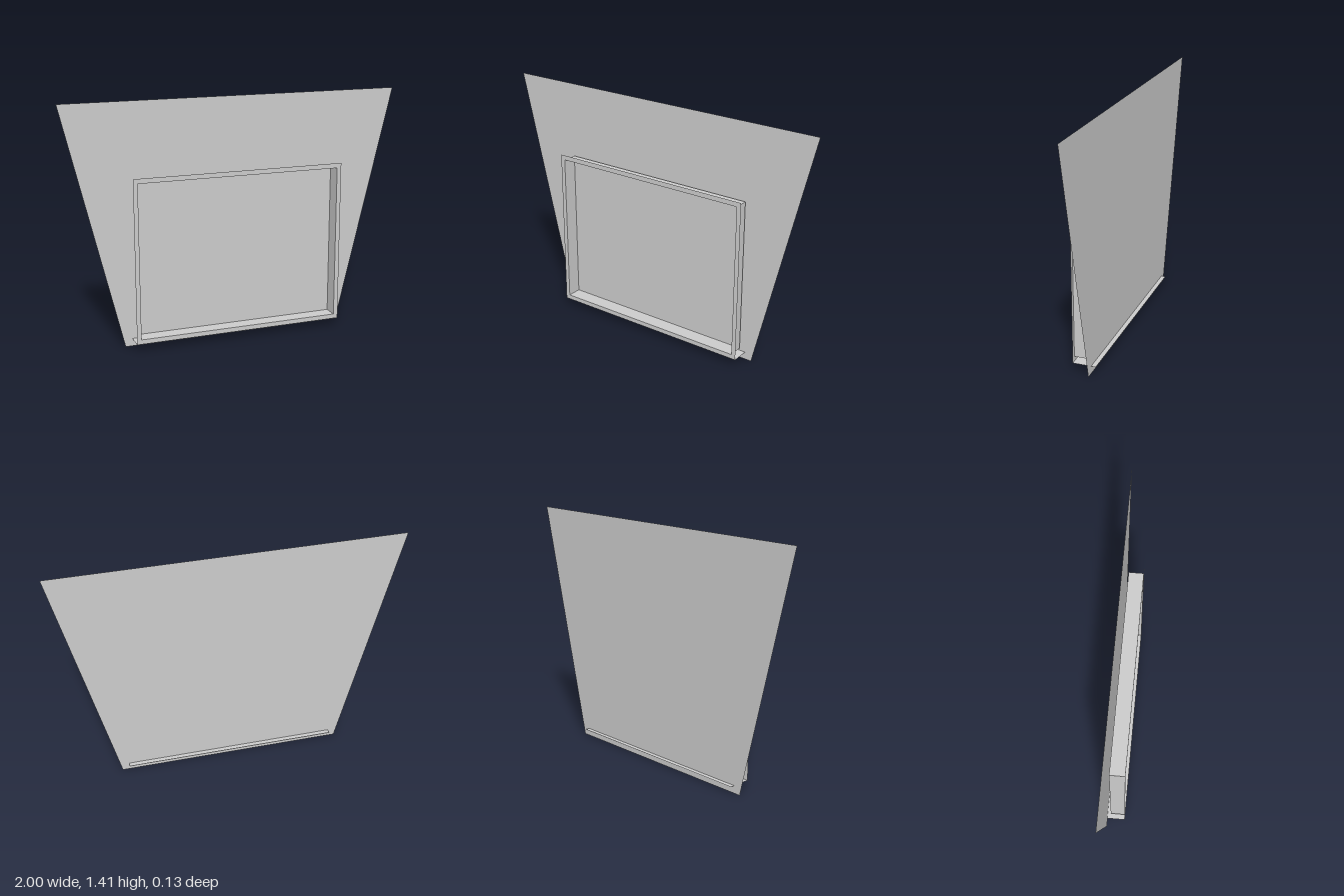
import * as THREE from 'three';

export function createModel() {
  const group = new THREE.Group();
  const material = new THREE.MeshStandardMaterial({
    color: 0xcccccc, side: THREE.DoubleSide, flatShading: true,
  });
  const add = (name, geometry, x = 0, y = 0, z = 0) => {
    const mesh = new THREE.Mesh(geometry, material);
    mesh.name = name;
    mesh.position.set(x, y, z);
    group.add(mesh);
    return mesh;
  };
  const corners = (x, y0, y1) => [[-x, y0], [x, y0], [x, y1], [-x, y1]]
    .map(([a, b]) => new THREE.Vector2(a, b));

  const front = 0.067, recess = -0.02;
  const outer = { x: 0.623, y0: 0.045, y1: 0.998 };
  const inner = { x: 0.597, y0: 0.072, y1: 0.97 };
  const depth = front - recess, midZ = (front + recess) / 2;
  const height = inner.y1 - inner.y0, midY = (inner.y0 + inner.y1) / 2;

  // Flared, paper-thin backing sheet
  const sheet = new THREE.Shape([[-0.663, 0], [0.663, 0], [1, 1.407], [-1, 1.407]]
    .map(([x, y]) => new THREE.Vector2(x, y)));
  add('backingSheet', new THREE.ShapeGeometry(sheet), 0, 0, -0.04);

  // Narrow flat rim round the opening
  const rim = new THREE.Shape(corners(outer.x, outer.y0, outer.y1));
  rim.holes.push(new THREE.Path(corners(inner.x, inner.y0, inner.y1).reverse()));
  add('frontRim', new THREE.ShapeGeometry(rim), 0, 0, front);

  // Thin walls lining the recess
  for (const side of [-1, 1]) {
    add(side > 0 ? 'leftWall' : 'rightWall', new THREE.PlaneGeometry(depth, height),
      side * inner.x, midY, midZ).rotation.y = -side * Math.PI / 2;
    add(side > 0 ? 'topWall' : 'bottomWall', new THREE.PlaneGeometry(inner.x * 2, depth),
      0, side > 0 ? inner.y1 : inner.y0, midZ).rotation.x = side * Math.PI / 2;
  }
  add('recessPanel', new THREE.PlaneGeometry(inner.x * 2, height), 0, midY, recess);

  // Base plate, passing through the sheet to the back
  add('basePlate', new THREE.PlaneGeometry(outer.x * 2, front * 2), 0, outer.y0, 0)
    .rotation.x = -Math.PI / 2;

  return group;
}
